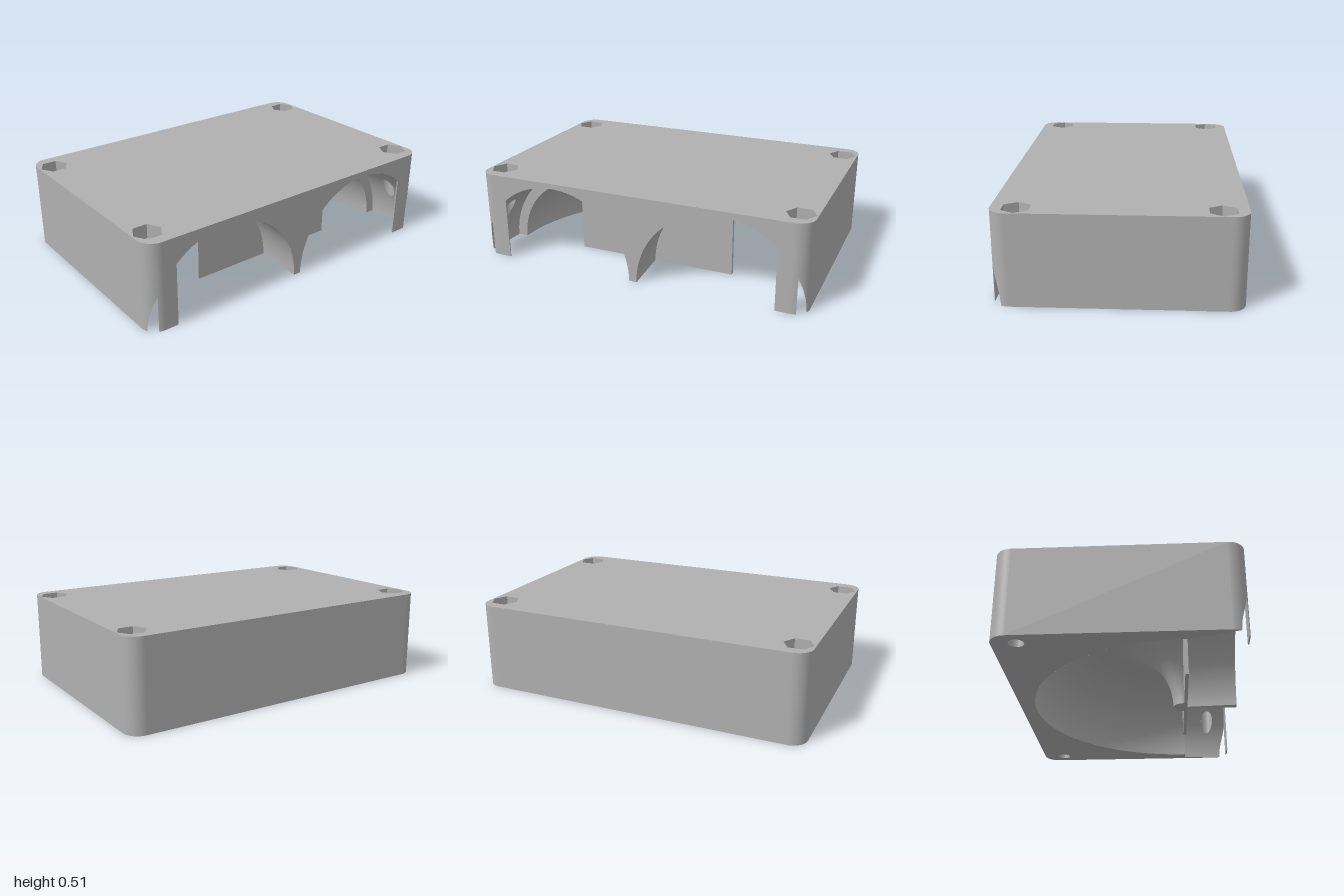
import * as THREE from 'three';

const W = 0.66, D = 1, H = 0.515, RC = 0.09;         // half width, half depth, height, corner radius
const CX = W - RC, CZ = D - RC;                      // corner centres
const BX = 0.525, BZ = 0.91, BR = 0.042, HEX_Y = 0.435; // bolt positions, hole radius, nut floor
const XIN = 0.36, XSTRIP = 0.653, XC = 0.34;         // pocket back, strip back, ring cavity axis
const R = 0.485, TR = 0.423, TC = 0.488;             // pocket radius, ring tube radius, ring radius
const ZCUT = 0.83, ZOUT = 0.508;                     // opening edge, opening centre
const A = Math.acos((ZCUT - ZOUT) / R);              // pocket angle at the opening edge
const A_STRIP = Math.acos((XSTRIP - CX) / RC);       // corner angle where the strip ends
const A_BREAK = 1.085;                               // corner angle where the pocket meets the base
const PI = Math.PI;

// The pocket axis is slightly tilted, so its centre drifts with x
const axisZ = x => TC + (ZOUT - TC) * (x - XIN) / (W - XIN);
const ceiling = (x, z) => Math.sqrt(Math.max(0, R * R - (z - axisZ(x)) ** 2));
const pocketPoint = (x, t) => [x, R * Math.sin(t), axisZ(x) + R * Math.cos(t)];

// Furthest x of the pocket surface at an angle, trimmed by the rounded corner
function pocketEnd(t) {
  let x = XSTRIP;
  for (let i = 0; i < 12; i++) {
    const d = Math.max(0, axisZ(x) + R * Math.cos(t) - CZ);
    x = Math.min(XSTRIP, CX + Math.sqrt(Math.max(0, RC * RC - d * d)));
  }
  return x;
}

// Surface from a rule f(u, v) -> [x, y, z]
function grid(nu, nv, f) {
  const pos = [], idx = [];
  for (let i = 0; i <= nu; i++) for (let j = 0; j <= nv; j++) pos.push(...f(i / nu, j / nv));
  for (let i = 0; i < nu; i++) for (let j = 0; j < nv; j++) {
    const a = i * (nv + 1) + j, b = a + nv + 1;
    idx.push(a, b, a + 1, b, b + 1, a + 1);
  }
  const g = new THREE.BufferGeometry();
  g.setAttribute('position', new THREE.Float32BufferAttribute(pos, 3));
  g.setIndex(idx);
  g.computeVertexNormals();
  return g;
}

const polygon = pts => new THREE.Shape(pts.map(p => new THREE.Vector2(...p)));
const circlePath = (x, z, r) => new THREE.Path().absarc(x, z, r, 0, 2 * PI, true);
const hexPoints = (x, z, r) => Array.from({ length: 6 }, (_, i) =>
  new THREE.Vector2(x + r * Math.sin(i * PI / 3), z + r * Math.cos(i * PI / 3)));

export function createModel() {
  const model = new THREE.Group();
  model.name = 'housingCover';
  const grey = new THREE.MeshStandardMaterial({ color: 0xb0b0b0, side: THREE.DoubleSide });
  grey.name = 'grey plastic';
  const add = (name, geometry, parent = model) => {
    const m = new THREE.Mesh(geometry, grey);
    m.name = name;
    parent.add(m);
    return m;
  };
  const signs = [1, -1];

  // Top face with nut recesses
  const top = new THREE.Shape();
  top.absarc(CX, CZ, RC, 0, PI / 2).absarc(-CX, CZ, RC, PI / 2, PI);
  top.absarc(-CX, -CZ, RC, PI, 1.5 * PI).absarc(CX, -CZ, RC, 1.5 * PI, 2 * PI);
  for (const sx of signs) for (const sz of signs)
    top.holes.push(new THREE.Path(hexPoints(sx * BX, sz * BZ, 0.082)));
  add('topFace', new THREE.ShapeGeometry(top, 16).rotateX(-PI / 2).translate(0, H, 0));

  // Flat outer walls
  add('frontWall', new THREE.PlaneGeometry(2 * CX, H).translate(0, H / 2, D));
  add('backWall', new THREE.PlaneGeometry(2 * CX, H).rotateY(PI).translate(0, H / 2, -D));
  add('plainSideWall', new THREE.PlaneGeometry(2 * CZ, H).rotateY(-PI / 2).translate(-W, H / 2, 0));

  // Side wall with two arched openings
  const side = new THREE.Shape();
  side.moveTo(-CZ, 0).lineTo(-ZCUT, 0);
  side.absarc(-ZOUT, 0, R, PI - A, 0, true);
  side.absarc(ZOUT, 0, R, PI, A, true);
  side.lineTo(ZCUT, 0).lineTo(CZ, 0).lineTo(CZ, H).lineTo(-CZ, H);
  add('archedSideWall', new THREE.ShapeGeometry(side, 40).rotateY(PI / 2).translate(W, 0, 0));

  // Base rim around the ring cavity
  const base = new THREE.Shape();
  base.moveTo(XIN, TC + R);
  base.absarc(CX, CZ, RC, A_BREAK, PI / 2).absarc(-CX, CZ, RC, PI / 2, PI);
  base.absarc(-CX, -CZ, RC, PI, 1.5 * PI).absarc(CX, -CZ, RC, 1.5 * PI, 2 * PI - A_BREAK);
  base.lineTo(XIN, -TC - R).lineTo(XIN, -TC - TR);
  base.absarc(XC, 0, TC + TR, 1.5 * PI, 0.5 * PI, true);
  base.lineTo(XIN, TC + TR);
  for (const sz of signs) base.holes.push(circlePath(-BX, sz * BZ, BR));
  add('baseRim', new THREE.ShapeGeometry(base, 40).rotateX(PI / 2));

  // Centre boss and the post between the arches
  const boss = new THREE.Shape().absarc(XC, 0, TC - TR, PI / 2, 1.5 * PI);
  add('centreBoss', new THREE.ShapeGeometry(boss, 20).rotateX(PI / 2));
  const zi = TC - R, zo = ZOUT - R;
  add('postBase', new THREE.ShapeGeometry(
    polygon([[XC, -zi], [W, -zo], [W, zo], [XC, zi]])).rotateX(PI / 2));

  // Half ring cavity
  const arc = Array.from({ length: 41 }, (_, i) => {
    const t = PI * (1 - i / 40);
    return new THREE.Vector2(TC + TR * Math.cos(t), TR * Math.sin(t));
  });
  add('ringCavity', new THREE.LatheGeometry(arc, 64, PI, PI).translate(XC, 0, 0));

  for (const sz of signs) {
    const half = new THREE.Group();
    half.name = sz > 0 ? 'frontHalf' : 'backHalf';
    half.scale.z = sz;
    model.add(half);

    // Rounded corners; the arched side is cut where the pocket breaks out
    const corner = (sx, a0, a1, bottom) => grid(20, 1, (u, v) => {
      const a = a0 + (a1 - a0) * u;
      const x = CX + RC * Math.cos(a), z = CZ + RC * Math.sin(a);
      const y = bottom(x, z);
      return [sx * x, y + (H - y) * v, z];
    });
    add('plainCorner', corner(-1, 0, PI / 2, () => 0), half);
    add('stripCorner', corner(1, 0, A_STRIP, () => 0), half);
    add('cutCorner', corner(1, A_STRIP, PI / 2, ceiling), half);

    // Pocket roof: inner part, low outer part, and the patch around the bolt hole
    const LOW = 0.25;
    add('pocketRoof', grid(48, 1, (u, v) =>
      pocketPoint(XIN + (W - XIN) * v, A + (PI - A) * u)), half);
    add('pocketLowSide', grid(10, 4, (u, v) => {
      const t = LOW * u;
      return pocketPoint(XIN + (pocketEnd(t) - XIN) * v, t);
    }), half);
    add('pocketBoltPatch', grid(64, 6, (u, v) => {
      const p = 2 * PI * u, c = Math.cos(p), s = Math.sin(p), m = Math.max(Math.abs(c), Math.abs(s));
      const hx = BX + BR * c, hz = BZ + BR * s;
      const ht = Math.acos((hz - axisZ(hx)) / R);
      const hs = (hx - XIN) / (pocketEnd(ht) - XIN);
      const es = (c / m + 1) / 2, et = (A + LOW) / 2 - (s / m) * (A - LOW) / 2;
      const t = ht + (et - ht) * v, k = hs + (es - hs) * v;
      return pocketPoint(XIN + (pocketEnd(t) - XIN) * k, t);
    }), half);

    // Thin plate closing the inner half of the pocket
    const plate = new THREE.Shape();
    plate.absarc(TC, 0, R, PI, 0, true);
    plate.absarc(TC, 0, TR, 0, PI / 2, false);
    plate.lineTo(TC, 0);
    add('pocketBackPlate', new THREE.ExtrudeGeometry(plate,
      { depth: XIN - XC, bevelEnabled: false, curveSegments: 40 }).rotateY(-PI / 2).translate(XIN, 0, 0), half);

    // Thin strip hanging beside the opening
    const strip = new THREE.Shape();
    strip.moveTo(XSTRIP, ZCUT).lineTo(W - 0.0005, ZCUT);
    strip.absarc(CX, CZ, RC - 0.0005, 0, A_STRIP);
    add('sideStrip', new THREE.ExtrudeGeometry(strip,
      { depth: 0.37, bevelEnabled: false }).rotateX(PI / 2).translate(0, 0.37, 0), half);

    // Nut recesses and bolt holes
    for (const sx of signs) {
      const walls = new THREE.CylinderGeometry(0.082, 0.082, H - HEX_Y, 6, 1, true).toNonIndexed();
      walls.computeVertexNormals();
      add('nutRecessWall', walls.translate(sx * BX, (H + HEX_Y) / 2, BZ), half);
      const floor = new THREE.Shape(hexPoints(0, 0, 0.082));
      floor.holes.push(circlePath(0, 0, BR));
      add('nutRecessFloor', new THREE.ShapeGeometry(floor, 32)
        .rotateX(-PI / 2).translate(sx * BX, HEX_Y, BZ), half);
      add('boltHole', grid(32, 1, (u, v) => {
        const x = sx * BX + BR * Math.cos(2 * PI * u), z = BZ + BR * Math.sin(2 * PI * u);
        const y = sx > 0 ? ceiling(x, z) : 0;
        return [x, y + (HEX_Y - y) * v, z];
      }), half);
    }
  }
  return model;
}
